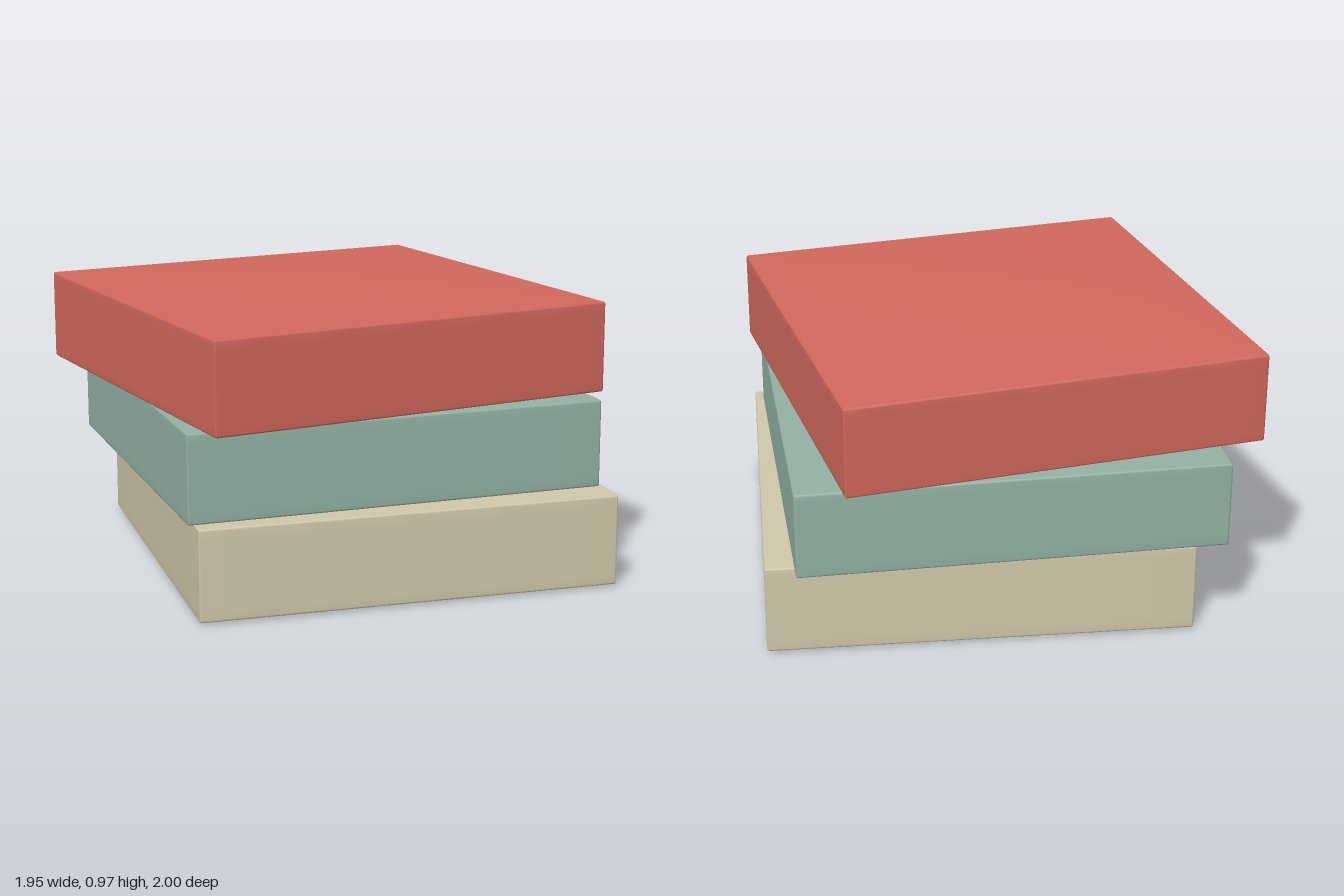
import * as THREE from 'three';
import { mergeVertices } from 'three/addons/utils/BufferGeometryUtils.js';

const SEG = 12;

// Softly cushioned square slab: tiny rounded edges, top and bottom swell slightly
function slabGeometry(width, height, radius = 0.008, bulge = 0.007) {
  const half = new THREE.Vector3(width / 2, height / 2, width / 2);
  const core = half.clone().subScalar(radius);
  const geo = new THREE.BoxGeometry(2, 2, 2, SEG, SEG, SEG);
  geo.deleteAttribute('uv');
  geo.deleteAttribute('normal');
  const merged = mergeVertices(geo);
  const pos = merged.attributes.position;
  const inner = 1 - 2 / SEG;
  const p = new THREE.Vector3(), c = new THREE.Vector3();
  for (let i = 0; i < pos.count; i++) {
    p.fromBufferAttribute(pos, i);
    // The outermost ring of cells becomes the rounded edge
    for (const a of ['x', 'y', 'z']) {
      const t = p[a];
      p[a] = Math.abs(t) > 0.999 ? Math.sign(t) * half[a] : (t / inner) * core[a];
      c[a] = THREE.MathUtils.clamp(p[a], -core[a], core[a]);
    }
    p.sub(c).setLength(radius).add(c);
    const u = p.x / half.x, v = p.z / half.z;
    p.y += (p.y / half.y) * bulge * (1 - u * u) * (1 - v * v);
    pos.setXYZ(i, p.x, p.y, p.z);
  }
  merged.computeVertexNormals();
  return merged;
}

export function createModel() {
  const group = new THREE.Group();
  group.name = 'stackedSlabs';

  // Each slab: bottom, top, centre x and z, clockwise turn seen from above
  const slabs = [
    { name: 'bottomSlab', colour: 'beige', hex: 0xd0c7a9, y: [0.008, 0.327], x: 0.006, z: 0.03, turn: 0.416 },
    { name: 'middleSlab', colour: 'sageGreen', hex: 0x92b1a3, y: [0.336, 0.643], x: -0.032, z: -0.05, turn: 0.366 },
    { name: 'topSlab', colour: 'coralRed', hex: 0xd1685c, y: [0.651, 0.968], x: -0.09, z: -0.041, turn: 0.2236 },
  ];

  for (const s of slabs) {
    const material = new THREE.MeshStandardMaterial({ color: s.hex });
    material.name = s.colour;
    const mesh = new THREE.Mesh(slabGeometry(1.472, s.y[1] - s.y[0]), material);
    mesh.name = s.name;
    mesh.position.set(s.x, (s.y[0] + s.y[1]) / 2, s.z);
    mesh.rotation.y = -s.turn;
    group.add(mesh);
  }
  return group;
}
